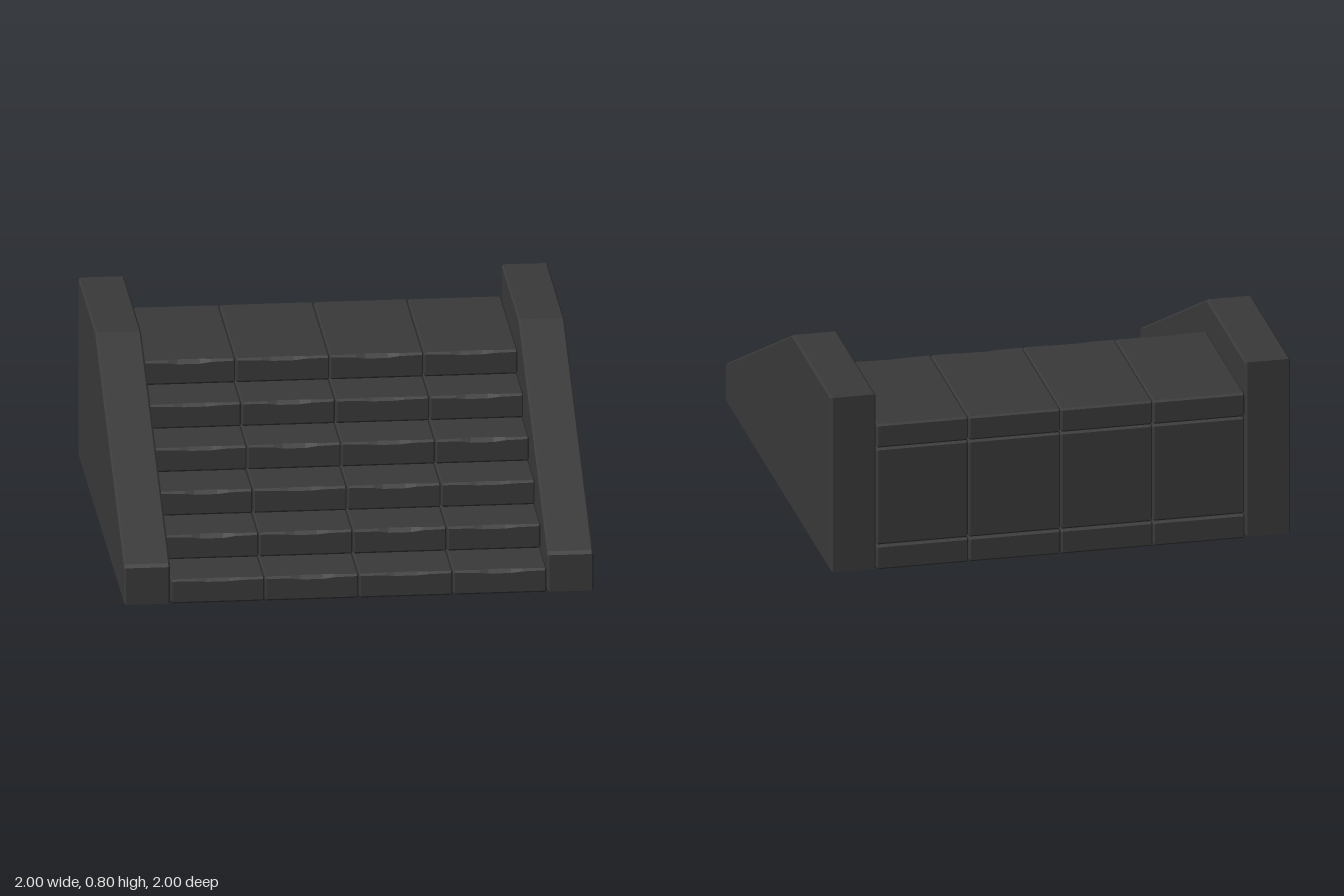
import * as THREE from 'three';

const stone = new THREE.MeshStandardMaterial({ color: 0x3a3a3a, flatShading: true });
const BEVEL = 0.008;

// Chamfered stone block lofted along x; wear deepens the middle of its top front edge
function stoneBlock(name, x0, x1, y0, y1, zb, zf, wear = 0) {
  const c = BEVEL, w = x1 - x0;
  // each station: [x, inset of the whole outline, extra front chamfer]
  const stations = [
    [x0 + 0.002, c * 0.7, 0], [x0 + c, 0, 0], [x0 + w * 0.28, 0, wear * 0.3],
    [x0 + w * 0.38, 0, wear], [x0 + w * 0.62, 0, wear],
    [x0 + w * 0.74, 0, wear * 0.3], [x1 - c, 0, 0], [x1 - 0.002, c * 0.7, 0],
  ];
  const pos = [], index = [], n = 8;
  for (const [x, e, extra] of stations) {
    const a = y0 + e, b = y1 - e, f = zf - e, r = zb + e, k = c + extra;
    const outline = [[f, a + c], [f, b - k], [f - k, b], [r + c, b],
      [r, b - c], [r, a + c], [r + c, a], [f - c, a]];
    for (const [z, y] of outline) pos.push(x, y, z);
  }
  const last = (stations.length - 1) * n;
  for (let s = 0; s < last; s += n) {
    for (let i = 0; i < n; i++) {
      const j = (i + 1) % n;
      index.push(s + i, s + n + i, s + n + j, s + i, s + n + j, s + j);
    }
  }
  for (let i = 1; i < n - 1; i++) {
    index.push(0, i, i + 1, last, last + i + 1, last + i);
  }
  const indexed = new THREE.BufferGeometry();
  indexed.setAttribute('position', new THREE.Float32BufferAttribute(pos, 3));
  indexed.setIndex(index);
  const geometry = indexed.toNonIndexed();
  geometry.computeVertexNormals();
  const mesh = new THREE.Mesh(geometry, stone);
  mesh.name = name;
  return mesh;
}

// Sloping side wall with bevelled edges, centred on x
function sideWall(name, x) {
  const shape = new THREE.Shape([
    [-1, 0.005], [0.995, 0.005], [0.995, 0.8], [0.26, 0.8], [-0.988, 0.182], [-1, 0.168],
  ].map(([u, v]) => new THREE.Vector2(u, v)));
  const geometry = new THREE.ExtrudeGeometry(shape, {
    depth: 0.196 - 2 * BEVEL, bevelEnabled: true, bevelSegments: 1,
    bevelThickness: BEVEL, bevelSize: BEVEL, bevelOffset: -BEVEL,
  });
  geometry.translate(0, 0, -0.098 + BEVEL);
  geometry.rotateY(Math.PI / 2);
  const mesh = new THREE.Mesh(geometry, stone);
  mesh.position.x = x;
  mesh.name = name;
  return mesh;
}

export function createModel() {
  const model = new THREE.Group();
  model.name = 'stoneStaircase';

  const rise = 0.11, count = 6, columns = 4, width = 0.4;
  const fronts = [1, 0.74, 0.487, 0.235, -0.015, -0.27];

  // Steps, four blocks wide
  for (let s = 0; s < count; s++) {
    const step = new THREE.Group();
    step.name = `step${s + 1}`;
    const back = s === count - 1 ? -0.995 : fronts[s + 1] - 0.25;
    for (let i = 0; i < columns; i++) {
      const x = -0.8 + i * width;
      const wear = 0.005 + 0.004 * ((s * 3 + i * 2) % 4) / 3;
      step.add(stoneBlock('stepBlock', x, x + width, s * rise + 0.003, (s + 1) * rise,
        back, fronts[s], wear));
    }
    model.add(step);
  }

  // Foundation course and upright slabs closing the back
  for (let i = 0; i < columns; i++) {
    const x = -0.8 + i * width;
    model.add(stoneBlock('foundationBlock', x, x + width, 0, rise, -1, fronts[1] - 0.25));
    model.add(stoneBlock('backSlab', x, x + width, rise, 5 * rise, -0.992, -0.5));
  }

  model.add(sideWall('leftWall', 0.9), sideWall('rightWall', -0.9));
  return model;
}
